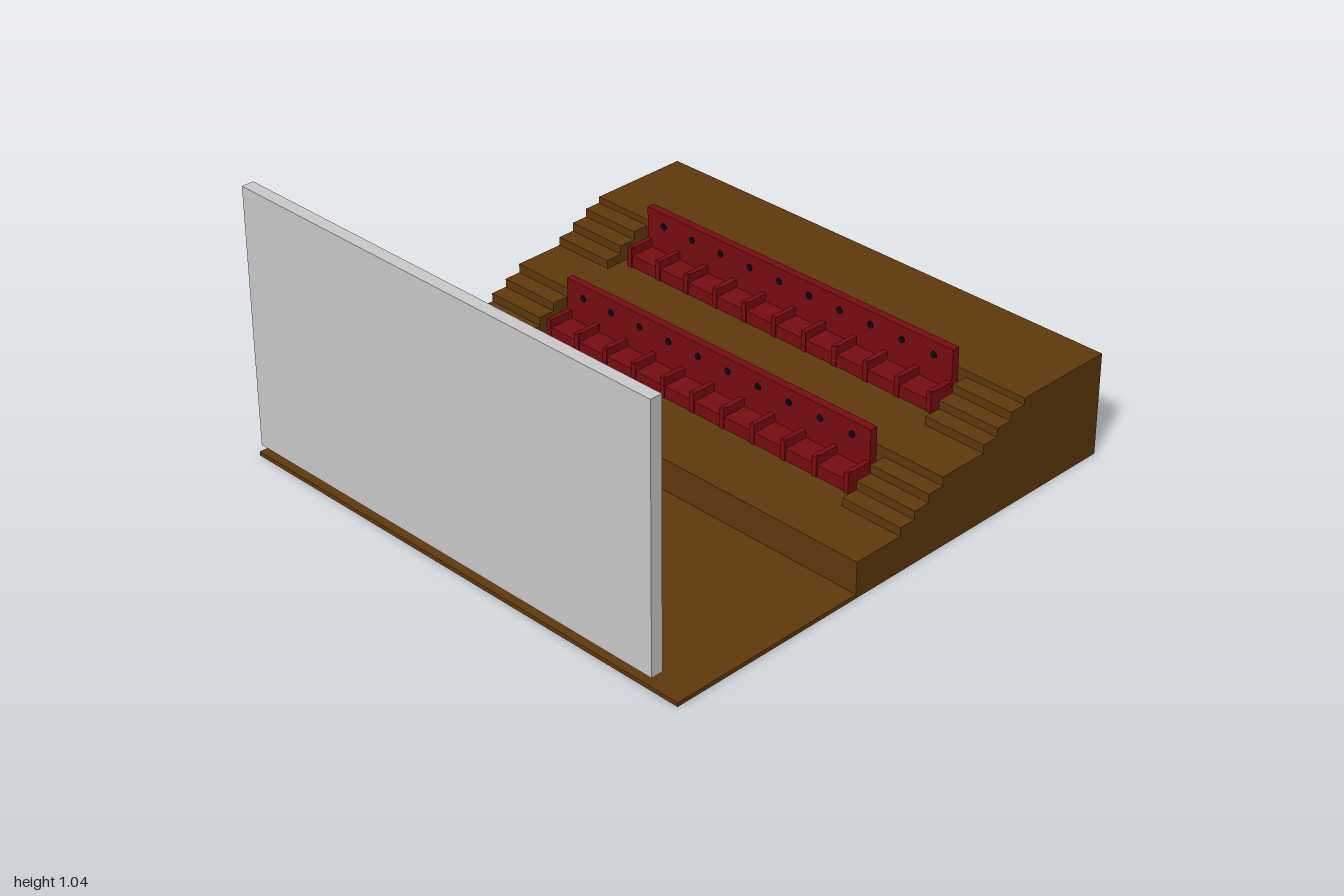
import * as THREE from 'three';

const brown = new THREE.MeshStandardMaterial({ color: 0x60390d });
const red = new THREE.MeshStandardMaterial({ color: 0x780c12 });
const black = new THREE.MeshStandardMaterial({ color: 0x0a0a0a });
const grey = new THREE.MeshStandardMaterial({ color: 0xcccccc });

// Box given by its min and max corners
function box(name, material, [x0, y0, z0], [x1, y1, z1]) {
  const mesh = new THREE.Mesh(new THREE.BoxGeometry(x1 - x0, y1 - y0, z1 - z0), material);
  mesh.position.set((x0 + x1) / 2, (y0 + y1) / 2, (z0 + z1) / 2);
  mesh.name = name;
  return mesh;
}

// Stepped floor: a side profile extruded across the whole width
function createTerraces(halfWidth) {
  const profile = [
    [-0.96, 0], [1, 0], [1, 0.385], [0.605, 0.385], [0.605, 0.265],
    [0.215, 0.265], [0.215, 0.135], [-0.18, 0.135], [-0.18, 0.015], [-0.96, 0.015],
  ];
  const shape = new THREE.Shape(profile.map(([x, y]) => new THREE.Vector2(x, y)));
  const geometry = new THREE.ExtrudeGeometry(shape, { depth: 2 * halfWidth, bevelEnabled: false });
  geometry.translate(0, 0, -halfWidth);
  const mesh = new THREE.Mesh(geometry, brown);
  mesh.name = 'terracedFloor';
  return mesh;
}

// Three steps leading from one terrace to the next
function createStairs(x, y, z0, z1) {
  const stairs = new THREE.Group();
  stairs.name = 'stairs';
  for (let i = 0; i < 3; i++) {
    const start = x + i * 0.065;
    stairs.add(box('step', brown, [start, y, z0], [x + 0.195, y + 0.032 * (i + 1), z1]));
  }
  return stairs;
}

// Row of ten seats; its origin is at the front edge on the terrace
function createSeatRow() {
  const row = new THREE.Group();
  row.name = 'seatRow';
  const seats = 10, pitch = 0.1375, half = 0.698, arm = 0.01;
  row.add(box('backrest', red, [0.1, 0, -half], [0.13, 0.195, half]));

  for (let i = 0; i <= seats; i++) {
    const z = (i - seats / 2) * pitch;
    row.add(box('armrest', red, [0, 0, z - arm], [0.1, 0.075, z + arm]));

    // Cup holder on the front of the armrest
    const cup = new THREE.Mesh(new THREE.CylinderGeometry(0.008, 0.008, 0.002, 12), red);
    cup.name = 'cupHolder';
    cup.position.set(0.015, 0.075, z);
    row.add(cup);
    if (i === seats) continue;

    // Cushion between two armrests
    row.add(box('cushion', red, [0.004, 0, z + arm], [0.1, 0.045, z + pitch - arm]));

    // Dark round marker on the backrest
    const disc = new THREE.Mesh(new THREE.CylinderGeometry(0.013, 0.013, 0.004, 12), black);
    disc.name = 'backrestMarker';
    disc.rotation.z = Math.PI / 2;
    disc.position.set(0.099, 0.145, z + pitch / 2);
    row.add(disc);
  }
  return row;
}

export function createModel() {
  const model = new THREE.Group();
  model.name = 'cinemaHall';
  const halfWidth = 0.975;
  model.add(createTerraces(halfWidth));

  // Both rows, each with stairs at its two ends
  for (const [x, y] of [[0.02, 0.135], [0.41, 0.265]]) {
    model.add(createStairs(x, y, -halfWidth, -0.732), createStairs(x, y, 0.732, halfWidth));
    const row = createSeatRow();
    row.position.set(x + 0.065, y, 0);
    model.add(row);
  }

  // Screen facing the seats
  model.add(box('screen', grey, [-1, 0.09, -0.907], [-0.955, 1.045, 0.907]));
  return model;
}
